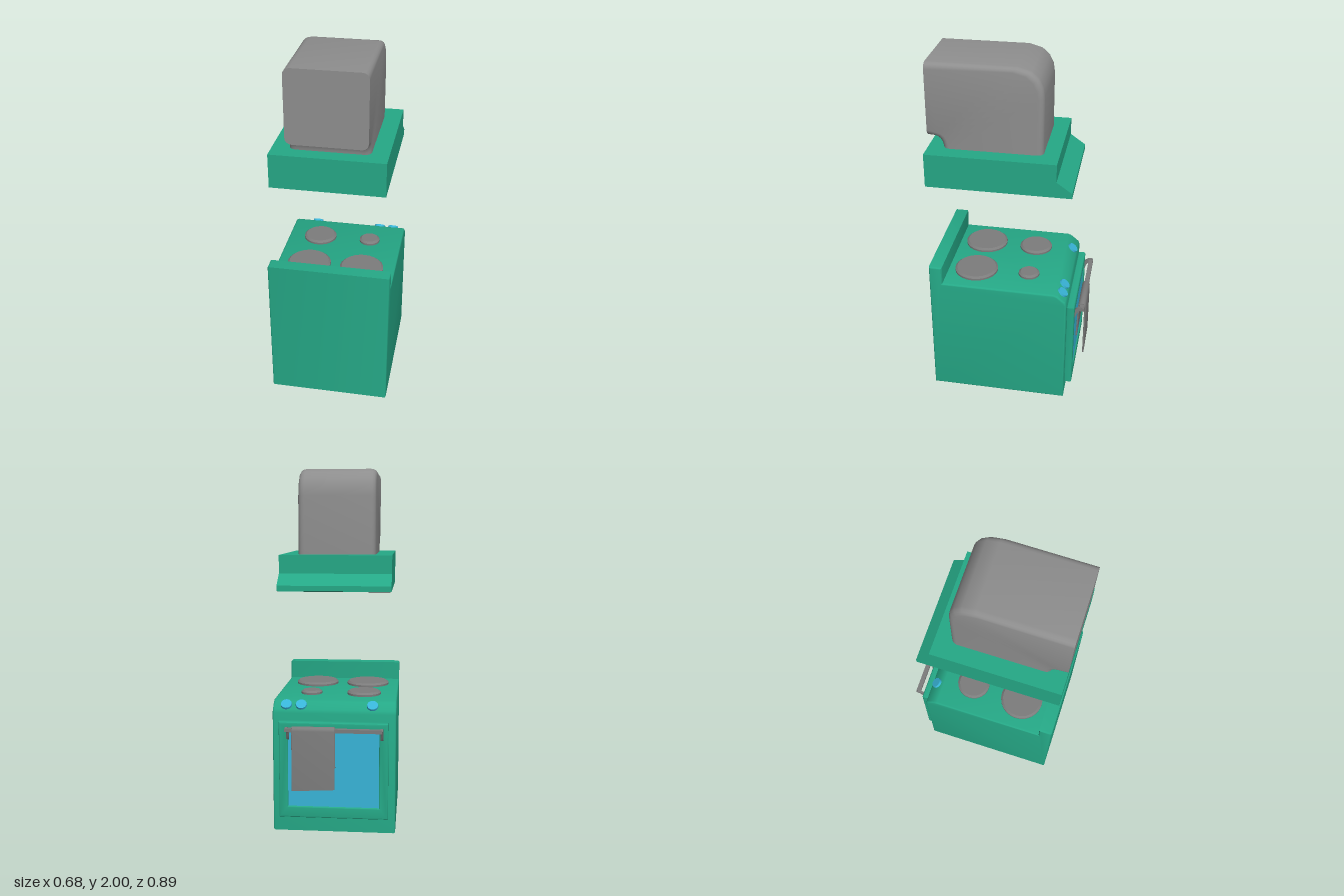
import * as THREE from 'three';
import { toCreasedNormals } from 'three/addons/utils/BufferGeometryUtils.js';

const material = (name, color, extra = {}) => new THREE.MeshStandardMaterial({ name, color, ...extra });

// Shape from a list of [x, y] points
const shapeOf = pts => new THREE.Shape(pts.map(p => new THREE.Vector2(...p)));

// Extrude a [z, y] profile along x, from x0 to x1, with small bevelled ends
function sideProfile(pts, x0, x1, bevel = 0) {
  const g = new THREE.ExtrudeGeometry(shapeOf(pts), {
    depth: x1 - x0 - 2 * bevel, bevelEnabled: bevel > 0, bevelThickness: bevel,
    bevelSize: bevel, bevelOffset: -bevel, bevelSegments: 3,
  });
  g.translate(0, 0, bevel - x1);
  g.rotateY(-Math.PI / 2);
  return toCreasedNormals(g, 0.6);
}

// Rounded rectangle ring: half width w, running from outer to inner point
function ring(outer, inner, w, r) {
  const len = Math.hypot(inner[0] - outer[0], inner[1] - outer[1]);
  const pts = [];
  for (let k = 0; k < 4; k++) {
    const cx = (k === 0 || k === 3 ? 1 : -1) * (w - r);
    const cv = k < 2 ? len - r : r;
    for (let i = 0; i <= 4; i++) {
      const a = (k + i / 4) * Math.PI / 2;
      const t = (cv + r * Math.sin(a)) / len;
      pts.push([cx + r * Math.cos(a), outer[1] + (inner[1] - outer[1]) * t, outer[0] + (inner[0] - outer[0]) * t]);
    }
  }
  return pts;
}

// Duct rising from the hood and bending toward the wall
function ductGeometry() {
  const outer = [[-0.18, 1.52], [-0.18, 1.85], [-0.172, 1.9], [-0.15, 1.945], [-0.11, 1.98], [-0.04, 2], [0.445, 2]];
  const inner = [[0.36, 1.52], [0.362, 1.54], [0.368, 1.56], [0.378, 1.577], [0.392, 1.588], [0.41, 1.593], [0.445, 1.595]];
  const rings = outer.map((o, i) => ring(o, inner[i], 0.215, 0.035));
  const n = rings[0].length, last = (rings.length - 1) * n, index = [];
  for (let i = 0; i < rings.length - 1; i++) {
    for (let j = 0; j < n; j++) {
      const k = (j + 1) % n;
      const a = i * n + j, b = a + n, c = i * n + k, d = c + n;
      index.push(a, b, c, b, d, c);
    }
  }
  for (let j = 1; j < n - 1; j++) index.push(last, last + j + 1, last + j);
  const g = new THREE.BufferGeometry();
  g.setAttribute('position', new THREE.Float32BufferAttribute(rings.flat(2), 3));
  g.setIndex(index);
  return toCreasedNormals(g, 0.6);
}

export function createModel() {
  const model = new THREE.Group();
  const green = material('green enamel', 0x25a886);
  const grey = material('duct grey', 0x8e8e8e);
  const iron = material('iron grey', 0x7c7c7c);
  const blue = material('blue', 0x38b4d8);
  const black = material('black', 0x111111);

  const add = (name, geometry, mat, parent = model) => {
    const mesh = new THREE.Mesh(geometry, mat);
    mesh.name = name;
    parent.add(mesh);
    return mesh;
  };
  const box = (name, mat, w, h, d, x, y, z, parent) =>
    add(name, new THREE.BoxGeometry(w, h, d).translate(x, y, z), mat, parent);

  // Stove body with sloped control panel and backguard
  add('stoveBody', sideProfile([
    [0.445, 0], [0.445, 0.84], [0.37, 0.84], [0.37, 0.735],
    [-0.27, 0.735], [-0.29, 0.727], [-0.335, 0.69], [-0.342, 0.67], [-0.342, 0],
  ].reverse(), -0.34, 0.34, 0.01), green);

  // Burners: discs with a chamfered rim
  const burners = [[0.15, 0.21, 0.125], [-0.155, 0.21, 0.125], [0.15, -0.1, 0.06], [-0.15, -0.095, 0.096]];
  for (const [x, z, r] of burners) {
    const profile = [[r, 0], [r, 0.012], [r - 0.012, 0.022], [0, 0.022]];
    const g = new THREE.LatheGeometry(profile.map(p => new THREE.Vector2(...p)), 24);
    g.translate(x, 0.734, z);
    add('burner', toCreasedNormals(g, 0.6), iron);
  }

  // Knobs on the sloped panel
  for (const x of [0.266, 0.183, -0.21]) {
    const knob = add('knob', new THREE.CylinderGeometry(0.03, 0.034, 0.026, 16), blue);
    knob.position.set(x, 0.709, -0.311);
    knob.rotation.x = -0.7;
  }

  // Oven door: bevelled frame around a recessed window
  const door = new THREE.Group();
  door.name = 'ovenDoor';
  model.add(door);
  const frame = shapeOf([[-0.3, 0.09], [0.3, 0.09], [0.3, 0.63], [-0.3, 0.63]]);
  frame.holes.push(new THREE.Path([[-0.25, 0.155], [-0.25, 0.575], [0.25, 0.575], [0.25, 0.155]]
    .map(p => new THREE.Vector2(...p))));
  const frameGeometry = new THREE.ExtrudeGeometry(frame, {
    depth: 0.029, bevelThickness: 0.008, bevelSize: 0.008, bevelOffset: -0.008, bevelSegments: 3,
  });
  frameGeometry.translate(0, 0, -0.377);
  add('doorFrame', toCreasedNormals(frameGeometry, 0.6), green, door);
  box('doorWindow', blue, 0.52, 0.44, 0.008, 0, 0.365, -0.374, door);

  // Door handle with curved brackets
  const handle = new THREE.Group();
  handle.name = 'doorHandle';
  model.add(handle);
  box('handleBar', iron, 0.53, 0.02, 0.026, -0.005, 0.597, -0.424, handle);
  for (const x of [-0.265, 0.25]) {
    add('handleBracket', sideProfile([
      [-0.378, 0.53], [-0.378, 0.57], [-0.39, 0.597], [-0.41, 0.61], [-0.43, 0.612],
      [-0.437, 0.6], [-0.425, 0.59], [-0.41, 0.588], [-0.397, 0.57], [-0.388, 0.54],
    ].reverse(), x - 0.007, x + 0.007), iron, handle);
  }

  // Towel folded over the handle bar
  const arc = (r, from, to) => Array.from({ length: 9 }, (_, i) => {
    const a = from + (to - from) * i / 8;
    return [-0.421 + r * Math.cos(a), 0.594 + r * Math.sin(a)];
  });
  const towel = sideProfile([
    [-0.443, 0.26], [-0.435, 0.26], ...arc(0.014, Math.PI, 0), [-0.399, 0.38],
    [-0.391, 0.38], ...arc(0.022, 0, Math.PI),
  ], -0.012, 0.222, 0.002);
  // slight wave along the hanging hem
  const p = towel.attributes.position;
  for (let i = 0; i < p.count; i++) {
    if (p.getY(i) < 0.3 && p.getX(i) < 0.1) p.setY(i, p.getY(i) + 0.012);
  }
  add('towel', towel, iron);

  // Hood with a sloping lip and a dark underside
  add('hood', sideProfile([
    [0.445, 1.34], [0.445, 1.53], [-0.265, 1.53], [-0.265, 1.43], [-0.35, 1.37], [-0.35, 1.34],
  ].reverse(), -0.308, 0.308), green);
  box('hoodUnderside', black, 0.606, 0.004, 0.786, 0, 1.34, 0.0475);

  // Exhaust duct
  add('exhaustDuct', ductGeometry(), grey);

  return model;
}
